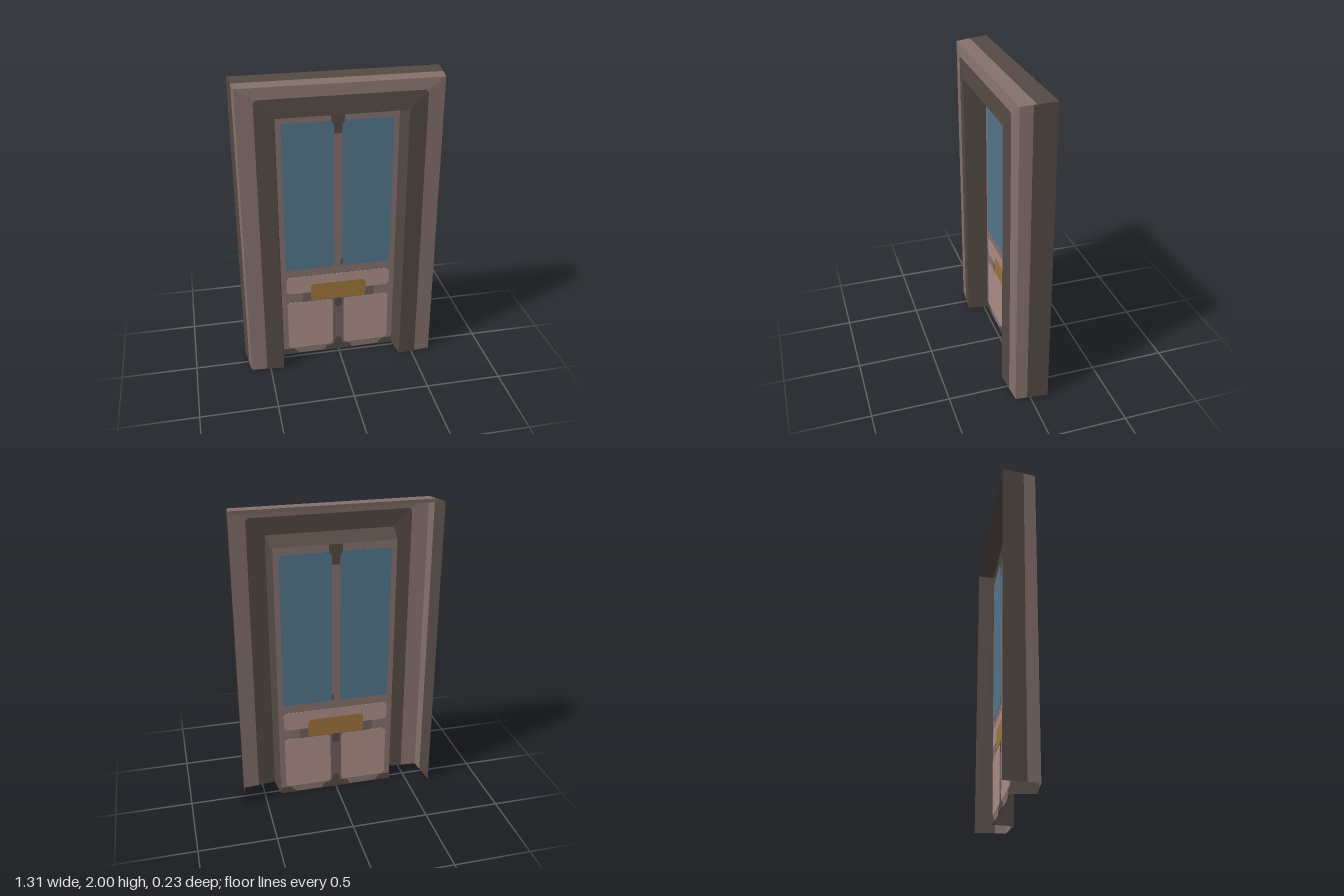
import * as THREE from 'three';

const mat = (name, color) => {
  const m = new THREE.MeshStandardMaterial({ color, side: THREE.DoubleSide });
  m.name = name;
  return m;
};

// U-shaped outline of the frame: up the left side, over the top, down the right.
// c cuts the upper corners; zTop lets the top run lie at another depth.
function ring(x, y, z, c = 0, zTop = z) {
  return [[x, 0, z], [x, y - c, z], [x - c, y, zTop],
    [c - x, y, zTop], [-x, y - c, z], [-x, 0, z]];
}

// Surface band joining two outlines
function band(r0, r1) {
  const pos = [];
  for (let i = 0; i < r0.length - 1; i++) {
    const [a, b, c, d] = [r0[i], r0[i + 1], r1[i + 1], r1[i]];
    pos.push(...a, ...b, ...c, ...a, ...c, ...d);
  }
  const g = new THREE.BufferGeometry();
  g.setAttribute('position', new THREE.Float32BufferAttribute(pos, 3));
  g.computeVertexNormals();
  return g;
}

// Rectangle with cut corners
function cutRect(x0, y0, x1, y1, c) {
  return [[x0 + c, y0], [x1 - c, y0], [x1, y0 + c], [x1, y1 - c],
    [x1 - c, y1], [x0 + c, y1], [x0, y1 - c], [x0, y0 + c]];
}

export function createModel() {
  const group = new THREE.Group();
  const wood = mat('wood', 0x84706b);
  const darkWood = mat('dark wood', 0x544943);
  const shade = mat('shaded wood', 0x6f605c);
  const panel = mat('pale panel', 0xab8d87);
  const glass = mat('blue glass', 0x52748a);
  const brass = mat('brass', 0x9c743c);

  const add = (name, geometry, material) => {
    const mesh = new THREE.Mesh(geometry, material);
    mesh.name = name;
    group.add(mesh);
    return mesh;
  };

  // Hollow frame, open at the back, from the outer rear edge to the door
  const rings = [
    ring(0.655, 2, -0.115),
    ring(0.64, 1.991, 0.02, 0, 0),
    ring(0.63, 1.985, 0.095),
    ring(0.525, 1.915, 0.104, 0.018),
    ring(0.41, 1.8, 0.115),
    ring(0.39, 1.76, -0.03),
  ];
  const bands = [['frameRearEdge', darkWood], ['frameOuterEdge', wood],
    ['frameFace', wood], ['frameInnerBorder', darkWood], ['doorReveal', darkWood]];
  bands.forEach(([name, m], i) => add(name, band(rings[i], rings[i + 1]), m));

  // Door leaf
  const doorZ = -0.03;
  const leaf = add('doorLeaf', new THREE.PlaneGeometry(0.78, 1.76), wood);
  leaf.position.set(0, 0.88, doorZ);

  // Thin plates that show on both faces of the door
  const plate = (name, points, depth, material) => {
    const shape = new THREE.Shape(points.map(([x, y]) => new THREE.Vector2(x, y)));
    const g = new THREE.ExtrudeGeometry(shape, { depth, bevelEnabled: false });
    add(name, g, material).position.z = doorZ - depth / 2;
  };

  plate('middleRail', cutRect(-0.25, 0.425, 0.25, 0.5, 0.005), 0.003, shade);
  plate('lowerStile', cutRect(-0.04, 0.05, 0.04, 0.43, 0.005), 0.003, shade);
  plate('upperPanel', cutRect(-0.355, 0.497, 0.355, 0.625, 0.018), 0.005, panel);
  plate('letterPlate', [[-0.19, 0.43], [0.19, 0.43], [0.19, 0.54], [0.175, 0.56],
    [-0.175, 0.56], [-0.19, 0.54]], 0.008, brass);

  // Mirrored panes, panels and corner marks
  for (const s of [-1, 1]) {
    const flip = (pts) => pts.map(([x, y]) => [s * x, y]);
    plate('windowPane', flip(cutRect(0.027, 0.685, 0.355, 1.715, 0.012)), 0.005, glass);
    plate('lowerPanel', flip(cutRect(0.037, 0.05, 0.352, 0.425, 0.018)), 0.005, panel);
    plate('cornerMark', flip([[0.28, 0], [0.39, 0], [0.39, 0.045], [0.32, 0.045]]), 0.006, darkWood);
  }

  // Dark marks on the centre line
  plate('topMark', [[-0.025, 1.63], [0.025, 1.63], [0.027, 1.69], [0.043, 1.71],
    [0.043, 1.76], [-0.043, 1.76], [-0.043, 1.71], [-0.027, 1.69]], 0.007, darkWood);
  plate('middleMark', cutRect(-0.025, 0.36, 0.025, 0.43, 0.012), 0.007, darkWood);
  plate('bottomMark', [[-0.1, 0], [0.1, 0], [0.085, 0.035], [0.03, 0.05], [0.018, 0.1],
    [-0.018, 0.1], [-0.03, 0.05], [-0.085, 0.035]], 0.007, darkWood);
  plate('stileMark', [[0.015, 0.69], [0.028, 0.69], [0.028, 0.74], [0.02, 0.74]], 0.007, darkWood);

  return group;
}
